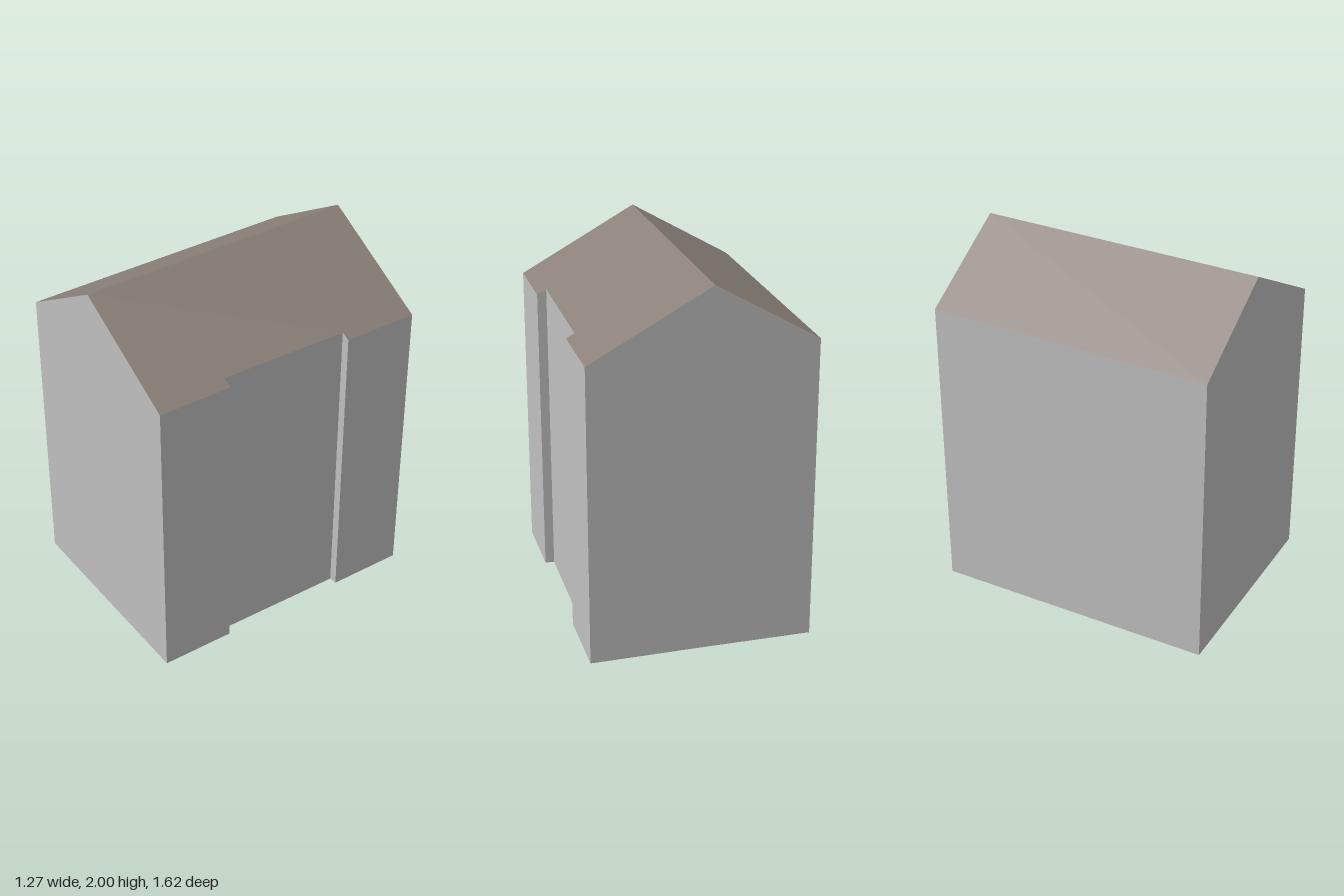
import * as THREE from 'three';

// Footprint corners (x, z), counter-clockwise seen from above
const frontLeft = [-0.64, 0.75], ridgeFront = [-0.08, 0.776], frontRight = [0.56, 0.805];
const backRight = [0.635, -0.75], ridgeBack = [-0.015, -0.78], backLeft = [-0.565, -0.81];
const recess = [[0.58, 0.4], [0.53, 0.395], [0.57, -0.33], [0.615, -0.33]];
const outline = [frontLeft, ridgeFront, frontRight, ...recess, backRight, ridgeBack, backLeft];

// Heights of the two sloping roof planes
const rightSlope = ([x, z]) => 1.985 - 0.5454 * (x + 0.08) - 0.0324 * (z - 0.776);
const leftSlope = ([x, z]) => 1.985 + 0.5888 * (x + 0.08) + 0.015 * (z - 0.776);
const roofHeight = (p) => Math.min(leftSlope(p), rightSlope(p));

// Flat polygon over a footprint, lifted to a height rule
function slab(points, height) {
  const shape = new THREE.Shape(points.map(([x, z]) => new THREE.Vector2(x, -z)));
  const geo = new THREE.ShapeGeometry(shape).rotateX(-Math.PI / 2);
  const pos = geo.attributes.position;
  for (let i = 0; i < pos.count; i++) pos.setY(i, height([pos.getX(i), pos.getZ(i)]));
  const flat = geo.toNonIndexed();
  flat.computeVertexNormals();
  return flat;
}

// Vertical walls from the ground up to the roof along the outline
function wallGeometry() {
  const v = [];
  outline.forEach((a, i) => {
    const b = outline[(i + 1) % outline.length];
    const a0 = [a[0], 0, a[1]], b0 = [b[0], 0, b[1]];
    const a1 = [a[0], roofHeight(a), a[1]], b1 = [b[0], roofHeight(b), b[1]];
    v.push(...a0, ...b0, ...b1, ...a0, ...b1, ...a1);
  });
  const geo = new THREE.BufferGeometry();
  geo.setAttribute('position', new THREE.Float32BufferAttribute(v, 3));
  geo.computeVertexNormals();
  return geo;
}

export function createModel() {
  const wallGrey = new THREE.MeshStandardMaterial({ color: 0xc0c0c0 });
  wallGrey.name = 'wallGrey';
  const roofBrown = new THREE.MeshStandardMaterial({ color: 0x8c817a });
  roofBrown.name = 'roofBrown';

  const house = new THREE.Group();
  house.name = 'house';
  const add = (name, geometry, material) => {
    const mesh = new THREE.Mesh(geometry, material);
    mesh.name = name;
    house.add(mesh);
    return mesh;
  };

  add('walls', wallGeometry(), wallGrey);

  // Roof slopes meeting at the ridge
  add('leftRoof', slab([frontLeft, ridgeFront, ridgeBack, backLeft], leftSlope), roofBrown);
  add('rightRoof', slab([ridgeFront, frontRight, ...recess, backRight, ridgeBack], rightSlope), roofBrown);

  // Underside, turned to face down (mirrored outline, then flipped about x)
  const base = slab(outline.map(([x, z]) => [x, -z]).reverse(), () => 0);
  add('base', base.rotateX(Math.PI), wallGrey);

  return house;
}
